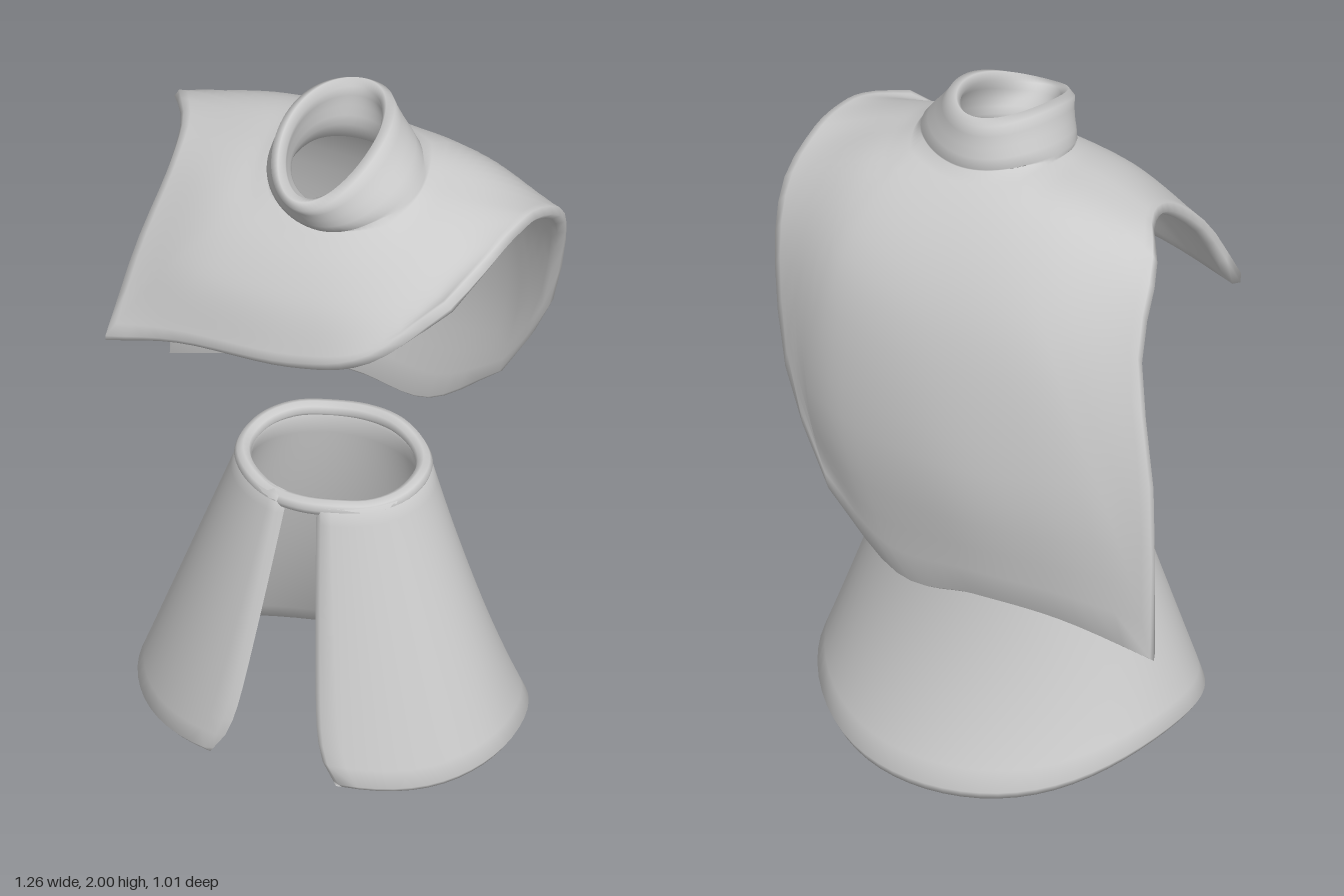
import * as THREE from 'three';

const V = (x, y, z) => new THREE.Vector3(x, y, z);
const { lerp } = THREE.MathUtils;
const material = new THREE.MeshStandardMaterial({ color: 0xcccccc, side: THREE.DoubleSide });

// Geometry from a grid of points: columns of equal length, optionally wrapping either way
function gridGeometry(cols, wrapU, wrapV) {
  const n = cols.length, m = cols[0].length, index = [];
  for (let i = 0; i < (wrapU ? n : n - 1); i++) {
    for (let k = 0; k < (wrapV ? m : m - 1); k++) {
      const i2 = (i + 1) % n, k2 = (k + 1) % m;
      const a = i * m + k, b = i2 * m + k, c = i2 * m + k2, d = i * m + k2;
      index.push(a, b, d, b, c, d);
    }
  }
  const geo = new THREE.BufferGeometry().setFromPoints(cols.flat());
  geo.setIndex(index);
  geo.computeVertexNormals();
  return geo;
}

// Thick cloth with rounded edges around a mid surface; half(j) is half its thickness
function cloth(cols, closed, half) {
  const m = cols[0].length;
  const normals = gridGeometry(cols, closed, false).attributes.normal;
  const beyond = (p, q) => p.clone().add(p.clone().sub(q).setLength(0.016));
  const section = (col, normalAt) => {
    const outer = col.map((p, j) => p.clone().addScaledVector(normalAt(j), half(j)));
    const inner = col.map((p, j) => p.clone().addScaledVector(normalAt(j), -half(j))).reverse();
    return [...outer, beyond(col[m - 1], col[m - 2]), ...inner, beyond(col[0], col[1])];
  };
  const loops = cols.map((col, i) =>
    section(col, (j) => new THREE.Vector3().fromBufferAttribute(normals, i * m + j)));
  if (!closed) {
    const zero = V(0, 0, 0), last = cols.length - 1;
    const end = (a, b) => section(cols[a].map((p, j) => beyond(p, cols[b][j])), () => zero);
    loops.unshift(end(0, 1));
    loops.push(end(last, last - 1));
  }
  return gridGeometry(loops, closed, true);
}

// Cape sheet: rows run from the front hem over the shoulders to the back hem
const capeRows = [
  [[-.41, 1.35, .42], [-.19, 1.415, .43], [.14, 1.46, .455], [.37, 1.54, .45], [.55, 1.685, .33]],
  [[-.38, 1.57, .29], [-.16, 1.60, .36], [.14, 1.62, .38], [.40, 1.65, .35], [.595, 1.745, .18]],
  [[-.36, 1.72, .13], [-.14, 1.75, .22], [.14, 1.76, .25], [.40, 1.76, .20], [.61, 1.765, .07]],
  [[-.39, 1.77, -.02], [-.14, 1.82, .02], [.12, 1.84, .05], [.38, 1.81, .02], [.62, 1.75, -.06]],
  [[-.48, 1.73, -.17], [-.18, 1.79, -.20], [.10, 1.80, -.20], [.38, 1.775, -.19], [.625, 1.66, -.20]],
  [[-.51, 1.52, -.30], [-.24, 1.54, -.385], [.06, 1.55, -.40], [.36, 1.55, -.37], [.585, 1.48, -.30]],
  [[-.595, 1.14, -.38], [-.30, 1.14, -.46], [-.02, 1.14, -.49], [.30, 1.15, -.45], [.505, 1.19, -.37]],
  [[-.615, .685, -.415], [-.35, .745, -.44], [-.10, .76, -.46], [.13, .745, -.45], [.36, .925, -.42]],
].map((row) => new THREE.CatmullRomCurve3(row.map((p) => V(...p)), false, 'catmullrom', 0.5));

function capePoint(s, t) {
  const across = capeRows.map((row) => row.getPoint(s / 4));
  return new THREE.CatmullRomCurve3(across, false, 'catmullrom', 0.5).getPoint(t / 7);
}

// Each column runs from the flared collar rim down to the neck and out to the hem
function capeGeometry() {
  const cols = [], around = 80, collarSteps = 5, sheetSteps = 16, tNeck = 2.85;
  for (let i = 0; i < around; i++) {
    const a = (i / around) * Math.PI * 2, c = Math.cos(a), s = Math.sin(a);
    const q = 1 / Math.max(Math.abs(c), Math.abs(s));
    const edgeS = 2 + 2 * c * q;
    const edgeT = tNeck + s * q * (s < 0 ? tNeck : 7 - tNeck);
    const neckS = 2.03 + 0.74 * c, neckT = tNeck + (s < 0 ? 0.74 : 0.84) * s;
    const neck = capePoint(neckS, neckT);
    const rim = V(0.1 + 0.13 * c, 1.965 + 0.06 * s - 0.035 * s * s, 0.095 - 0.21 * s);
    const col = [];
    for (let k = 0; k < collarSteps; k++) col.push(rim.clone().lerp(neck, k / collarSteps));
    for (let k = 0; k <= sheetSteps; k++) {
      const r = k / sheetSteps;
      col.push(capePoint(lerp(neckS, edgeS, r), lerp(neckT, edgeT, r)));
    }
    cols.push(col);
  }
  // The cloth is thickest where the collar meets the shoulders
  return cloth(cols, true, (j) => 0.019 + 0.014 * Math.exp(-(((j - collarSteps + 1) / 2) ** 2)));
}

// Flared skirt wrapping round the back, open at a front slit
function skirtGeometry() {
  const cols = [], around = 56, steps = 16;
  for (let i = 0; i <= around; i++) {
    const col = [];
    for (let j = 0; j <= steps; j++) {
      const v = j / steps;
      const slit = 0.24 + 0.05 * v + 0.09 * v ** 14;
      const a = slit + (i / around) * (Math.PI * 2 - 2 * slit);
      const c = Math.cos(a), back = Math.max(0, -c);
      const hem = 0.145 - 0.125 * back ** 2.6 - 0.025 * Math.sin(2 * a) ** 2;
      const rx = 0.247 + 0.27 * v;
      const rz = c > 0 ? 0.207 + 0.175 * v : 0.207 + 0.105 * v + 0.17 * v ** 2.5;
      col.push(V(0.107 + rx * Math.sin(a), lerp(0.89, hem, v), 0.105 + 0.025 * v + rz * c));
    }
    cols.push(col);
  }
  return cloth(cols, false, () => 0.021);
}

// Slightly uneven waistband, higher at the back
function waistbandGeometry() {
  const points = [];
  for (let i = 0; i < 16; i++) {
    const a = (i / 16) * Math.PI * 2;
    points.push(V(0.105 + 0.25 * Math.sin(a),
      0.895 - 0.012 * Math.cos(a) + 0.004 * Math.sin(5 * a), 0.105 + 0.208 * Math.cos(a)));
  }
  return new THREE.TubeGeometry(new THREE.CatmullRomCurve3(points, true), 64, 0.023, 8, true);
}

export function createModel() {
  const model = new THREE.Group();
  model.name = 'capeAndSkirt';
  const parts = { cape: capeGeometry(), skirt: skirtGeometry(), waistband: waistbandGeometry() };
  for (const [name, geometry] of Object.entries(parts)) {
    const mesh = new THREE.Mesh(geometry, material);
    mesh.name = name;
    model.add(mesh);
  }
  return model;
}
